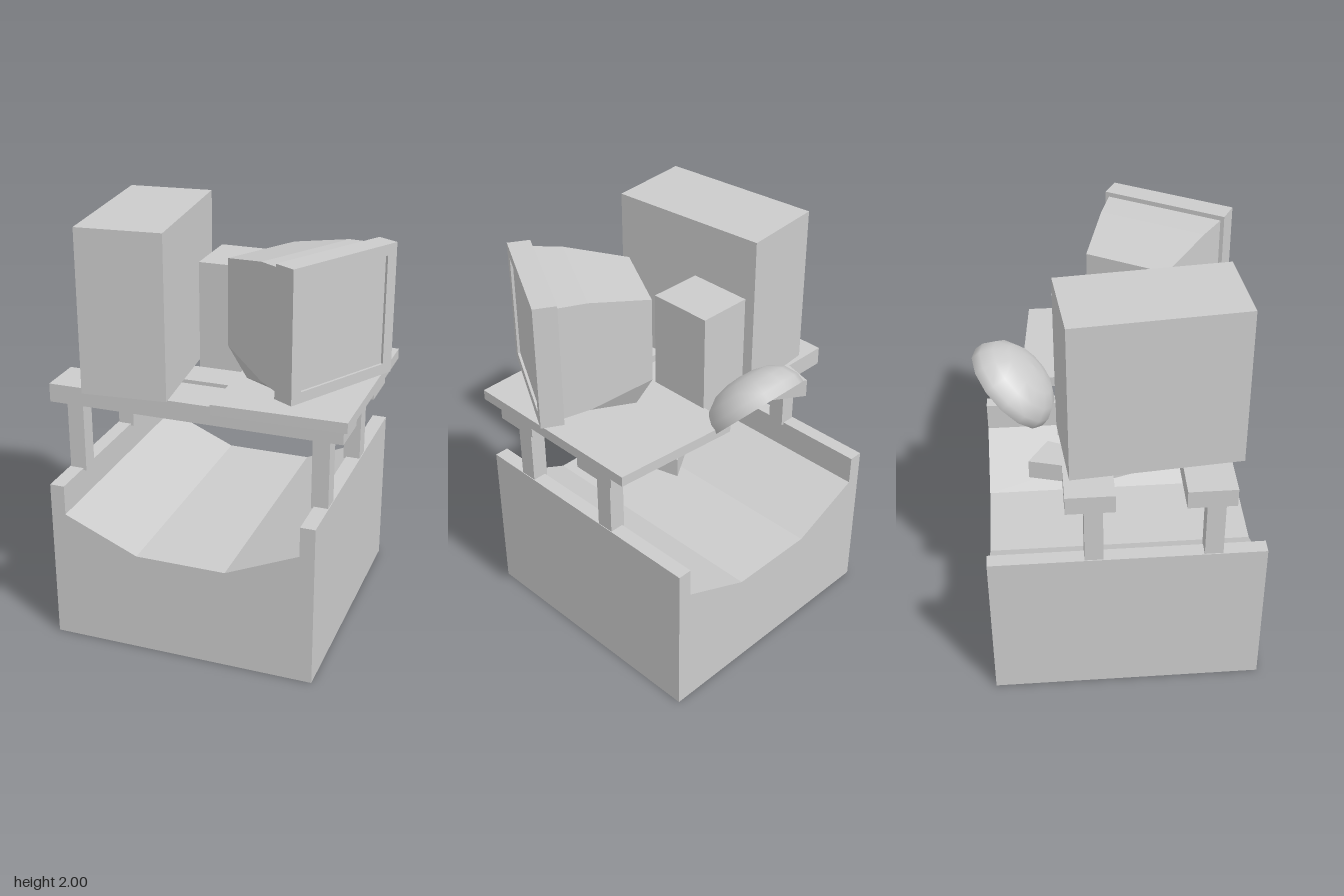
import * as THREE from 'three';

const grey = new THREE.MeshStandardMaterial({ color: 0xcccccc, flatShading: true, side: THREE.DoubleSide });
const smooth = new THREE.MeshStandardMaterial({ color: 0xcccccc, side: THREE.DoubleSide });

function add(parent, name, geometry, material = grey) {
  const mesh = new THREE.Mesh(geometry, material);
  mesh.name = name;
  parent.add(mesh);
  return mesh;
}

// Box given by its limits on each axis
function box(parent, name, [x0, x1], [y0, y1], [z0, z1]) {
  const mesh = add(parent, name, new THREE.BoxGeometry(x1 - x0, y1 - y0, z1 - z0));
  mesh.position.set((x0 + x1) / 2, (y0 + y1) / 2, (z0 + z1) / 2);
  return mesh;
}

const outline = (pts) => new THREE.Shape(pts.map(([x, y]) => new THREE.Vector2(x, y)));
const extrude = (shape, depth) => new THREE.ExtrudeGeometry(shape, { depth, bevelEnabled: false });

// Horizontal plate from an outline of [x, z] points
function plate(parent, name, pts, y0, y1) {
  const geometry = extrude(outline(pts.map(([x, z]) => [x, -z])), y1 - y0);
  geometry.rotateX(-Math.PI / 2).translate(0, y0, 0);
  return add(parent, name, geometry);
}

// Solid through a row of four-cornered rings, capped at both ends
function loft(rings) {
  const pos = [];
  const quad = (a, b, c, d) => pos.push(...a, ...b, ...c, ...a, ...c, ...d);
  for (let k = 0; k + 1 < rings.length; k++) {
    for (let i = 0; i < 4; i++) {
      const j = (i + 1) % 4;
      quad(rings[k][i], rings[k][j], rings[k + 1][j], rings[k + 1][i]);
    }
  }
  quad(...[...rings[0]].reverse());
  quad(...rings[rings.length - 1]);
  const geometry = new THREE.BufferGeometry();
  geometry.setAttribute('position', new THREE.Float32BufferAttribute(pos, 3));
  geometry.computeVertexNormals();
  return geometry;
}

function createMonitor() {
  const monitor = new THREE.Group();
  monitor.name = 'monitor';

  // Bezel frame with a slightly recessed screen
  const frame = outline([[-0.305, 1.335], [0.305, 1.335], [0.305, 1.935], [-0.305, 1.935]]);
  frame.holes.push(new THREE.Path([[-0.25, 1.385], [-0.25, 1.885], [0.25, 1.885], [0.25, 1.385]]
    .map(([x, y]) => new THREE.Vector2(x, y))));
  add(monitor, 'bezel', extrude(frame, 0.106).translate(0, 0, -0.053));
  box(monitor, 'screen', [-0.25, 0.25], [1.385, 1.885], [-0.05, 0.041]);

  // Casing that narrows toward the back: [z, half width, bottom, top]
  const sections = [[-0.482, 0.2, 1.43, 1.84], [-0.19, 0.262, 1.365, 1.903], [-0.05, 0.287, 1.355, 1.913]];
  add(monitor, 'casing', loft(sections.map(([z, w, y0, y1]) =>
    [[-w, y0, z], [w, y0, z], [w, y1, z], [-w, y1, z]])));

  // Tapered foot
  add(monitor, 'foot', loft([
    [[-0.14, 1.275, -0.19], [0.14, 1.275, -0.19], [0.14, 1.275, -0.42], [-0.14, 1.275, -0.42]],
    [[-0.25, 1.36, -0.055], [0.25, 1.36, -0.055], [0.2, 1.43, -0.482], [-0.2, 1.43, -0.482]],
  ]));

  monitor.position.set(0.557, 0, 0.31);
  monitor.rotation.y = 1.055;
  return monitor;
}

function createDish() {
  const dish = new THREE.Group();
  dish.name = 'dish';
  // Closed bowl profile: inside from centre to rim, then outside back to centre
  const profile = [[0, 0.145], [0.07, 0.14], [0.13, 0.122], [0.185, 0.082], [0.218, 0],
    [0.235, 0], [0.23, 0.045], [0.2, 0.1], [0.14, 0.142], [0.07, 0.16], [0, 0.165]];
  add(dish, 'bowl', new THREE.LatheGeometry(profile.map(([r, y]) => new THREE.Vector2(r, y)), 14), smooth);
  const feed = add(dish, 'feed', new THREE.CylinderGeometry(0.022, 0.022, 0.06, 10));
  feed.position.y = 0.115;
  dish.position.set(-0.052, 1.318, -0.485);
  dish.rotation.x = 0.82;
  return dish;
}

export function createModel() {
  const model = new THREE.Group();
  model.name = 'workstation';

  // Base block with a trough running front to back
  const base = outline([[-0.69, 0], [0.59, 0], [0.59, 0.795], [0.52, 0.795], [0.52, 0.65],
    [0.17, 0.495], [-0.265, 0.495], [-0.62, 0.65], [-0.62, 0.795], [-0.69, 0.795]]);
  add(model, 'base', extrude(base, 1.275).translate(0, 0, -0.62));

  // Four posts
  for (const x of [-0.685, 0.507]) {
    for (const z of [-0.18, 0.365]) box(model, 'post', [x, x + 0.08], [0.785, 1.14], [z, z + 0.085]);
  }

  // Straight front beam, and rear beam opening into a broken ring
  box(model, 'frontBeam', [-0.755, 0.655], [1.135, 1.225], [0.265, 0.485]);
  const half = [[-0.35, -0.32], [-0.49, -0.41], [-0.53, -0.265], [-0.755, -0.265],
    [-0.755, -0.045], [-0.53, -0.045], [-0.49, 0.08], [-0.34, 0.225]];
  const inner = [[-0.24, 0.05], [-0.37, -0.03], [-0.42, -0.17]];
  const mirror = (pts) => pts.map(([x, z]) => [-0.1 - x, z]).reverse();
  plate(model, 'rearBeam', [...half, ...mirror(half), ...mirror(inner), ...inner], 1.135, 1.225);

  // Table top with a slightly slanted rear edge
  plate(model, 'tableTop', [[0.073, 0.572], [0.69, 0.558], [0.69, -0.375], [0.073, -0.43]], 1.225, 1.275);

  // Large and small cabinets
  const large = add(model, 'largeCabinet', new THREE.BoxGeometry(0.402, 0.775, 0.783));
  large.position.set(-0.398, 1.6125, 0.133);
  large.rotation.y = 0.095;
  box(model, 'smallCabinet', [-0.18, 0.08], [1.125, 1.74], [-0.27, 0.04]);

  model.add(createMonitor(), createDish());
  return model;
}
